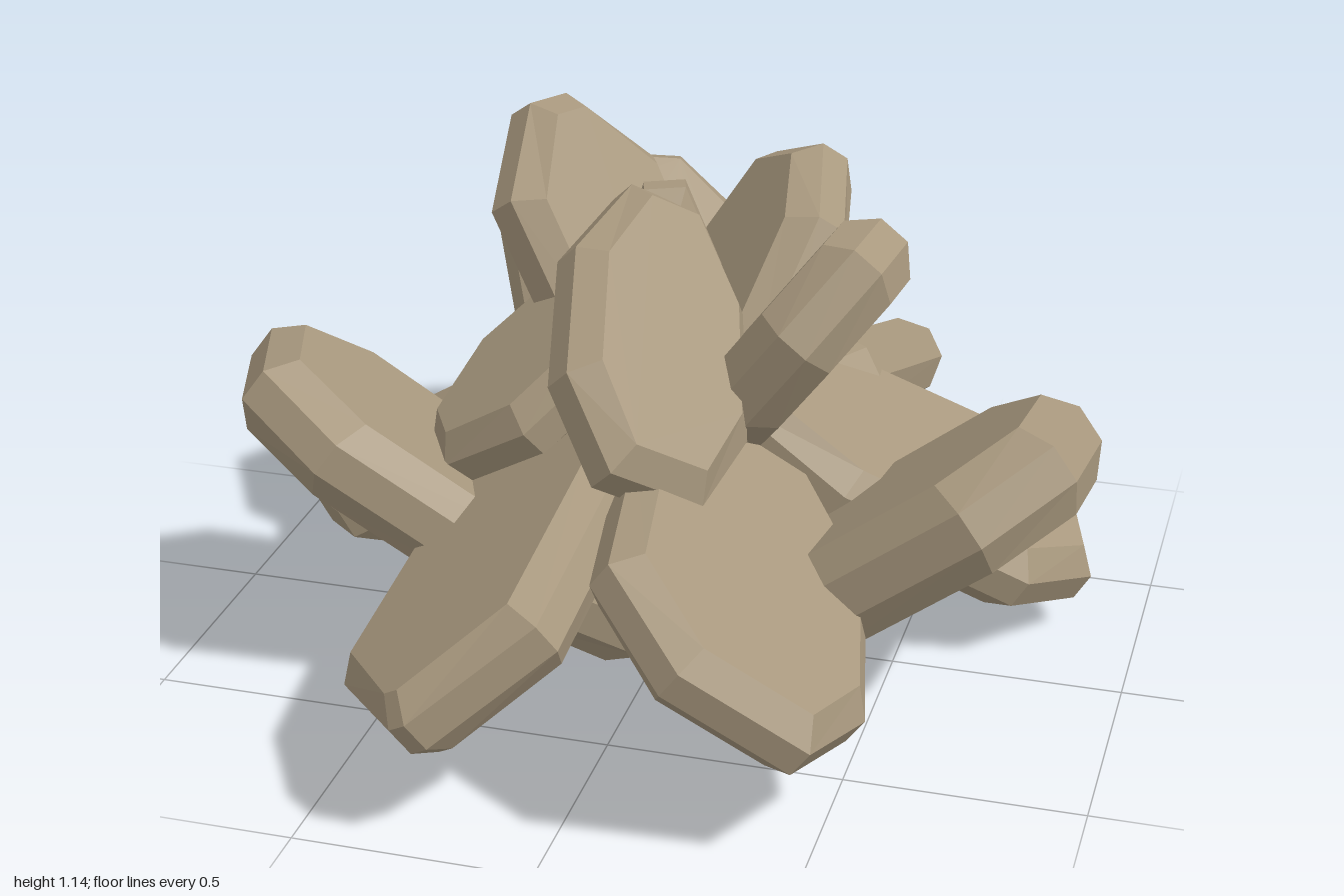
import * as THREE from 'three';

// Bevelled, elongated hexagonal blade running from p0 to p1, its face turned towards n.
// tip is the width of the blunt outer end as a share of the full width, skew slides that end sideways.
function bladeGeometry(p0, p1, n, width, thick, tip, skew) {
  const a = new THREE.Vector3(...p0), b = new THREE.Vector3(...p1);
  const mid = a.clone().add(b).multiplyScalar(0.5);
  const axis = b.clone().sub(a);
  const half = axis.length() / 2;
  axis.normalize();
  const normal = new THREE.Vector3(...n);
  normal.addScaledVector(axis, -normal.dot(axis)).normalize();
  const across = new THREE.Vector3().crossVectors(normal, axis);

  const shoulder = 1 - 0.19 / half;
  const outline = [
    [1, skew - tip], [1, skew + tip], [shoulder, 1], [-0.4, 0.95],
    [-1, 0.35], [-1, -0.35], [-0.4, -0.95], [shoulder, -1],
  ];
  const bevel = 0.05, w = width / 2, h = thick / 2;
  // Four rings: lower face, two around the rim, upper face
  const rings = [[-h, bevel], [-h * 0.4, 0], [h * 0.4, 0], [h, bevel]];
  const pos = [], idx = [], m = outline.length;
  for (const [y, inset] of rings) {
    for (const [u, v] of outline) {
      const p = mid.clone()
        .addScaledVector(axis, u * (half - inset))
        .addScaledVector(across, v * (w - inset))
        .addScaledVector(normal, y);
      pos.push(p.x, p.y, p.z);
    }
  }
  for (let r = 0; r < 3; r++) {
    for (let i = 0; i < m; i++) {
      const j = (i + 1) % m, o = r * m;
      idx.push(o + i, o + j, o + m + j, o + i, o + m + j, o + m + i);
    }
  }
  for (let i = 1; i < m - 1; i++) {
    idx.push(0, i + 1, i, 3 * m, 3 * m + i, 3 * m + i + 1);
  }
  const g = new THREE.BufferGeometry();
  g.setAttribute('position', new THREE.Float32BufferAttribute(pos, 3));
  g.setIndex(idx);
  g.computeVertexNormals();
  return g;
}

export function createModel() {
  const model = new THREE.Group();
  model.name = 'crystalRosette';
  const stone = new THREE.MeshStandardMaterial({ color: 0xa8987e, flatShading: true });
  stone.name = 'sandstone';

  const blade = (name, p0, p1, n, width, thick, tip, skew = 0) => {
    const mesh = new THREE.Mesh(bladeGeometry(p0, p1, n, width, thick, tip, skew), stone);
    mesh.name = name;
    model.add(mesh);
  };

  // Outer blades sloping down to the ground
  blade('lowBladeBack', [0.12, 0.5, -0.1], [0.22, 0.22, -0.99], [-0.65, 1, -0.39], 0.52, 0.18, 0.08);
  blade('lowBladeRight', [-0.1, 0.6, -0.17], [-0.9, 0.1, -0.22], [-0.64, 1, 0], 0.5, 0.17, 0.1);
  blade('lowBladeFrontRight', [-0.15, 0.57, 0.12], [-0.25, 0.27, 0.99], [-0.7, 1, 0.27], 0.56, 0.17, 0.08);
  blade('lowBladeFrontLeft', [0.2, 0.5, 0.1], [0.35, 0.37, 0.91], [0.75, 1, 0.03], 0.61, 0.16, 0.5, 0.1);
  blade('lowBladeLeft', [0.08, 0.6, -0.06], [0.83, 0.14, -0.39], [0.62, 1, 0], 0.56, 0.17, 0.5);

  // Outer blades rising from the base
  blade('highBladeBackRight', [-0.06, 0.3, -0.18], [-0.37, 0.79, -0.83], [0.5, 1, 0.52], 0.6, 0.19, 0.35, -0.15);
  blade('highBladeRight', [-0.03, 0.07, 0.09], [-0.82, 0.7, 0.31], [0.7, 1, -0.33], 0.55, 0.19, 0.5);
  blade('highBladeLeft', [0.1, 0.07, 0.16], [0.9, 0.68, 0.17], [-0.76, 1, -0.13], 0.57, 0.21, 0.42, -0.1);

  // Inner crown
  blade('crownBladeRight', [0.03, 0.47, -0.02], [-0.37, 1.13, -0.25], [1.2, 1, 0.53], 0.45, 0.17, 0.25);
  blade('crownBladeBack', [0.03, 0.47, 0], [0.19, 0.99, -0.47], [-1.2, 1, 0.65], 0.45, 0.17, 0.45);
  blade('crownBladeLeft', [0.12, 0.56, 0.06], [0.47, 1.03, 0.12], [-1.25, 1, -0.1], 0.42, 0.18, 0.4);
  blade('crownBladeFront', [-0.05, 1.01, -0.03], [0.1, 0.62, 0.54], [1, 1, 0.42], 0.44, 0.17, 0.5);
  blade('crownBladeFrontRight', [-0.03, 0.88, 0.05], [-0.42, 0.5, 0.25], [-0.75, 1, 0.45], 0.42, 0.16, 0.35);

  // Slim upright core
  blade('coreBlade', [0.02, 0.35, -0.02], [-0.03, 1.05, -0.05], [0.3, 0, 1], 0.22, 0.14, 0.4);

  // Rest on the ground
  const box = new THREE.Box3().setFromObject(model);
  for (const part of model.children) part.position.y -= box.min.y;
  return model;
}
